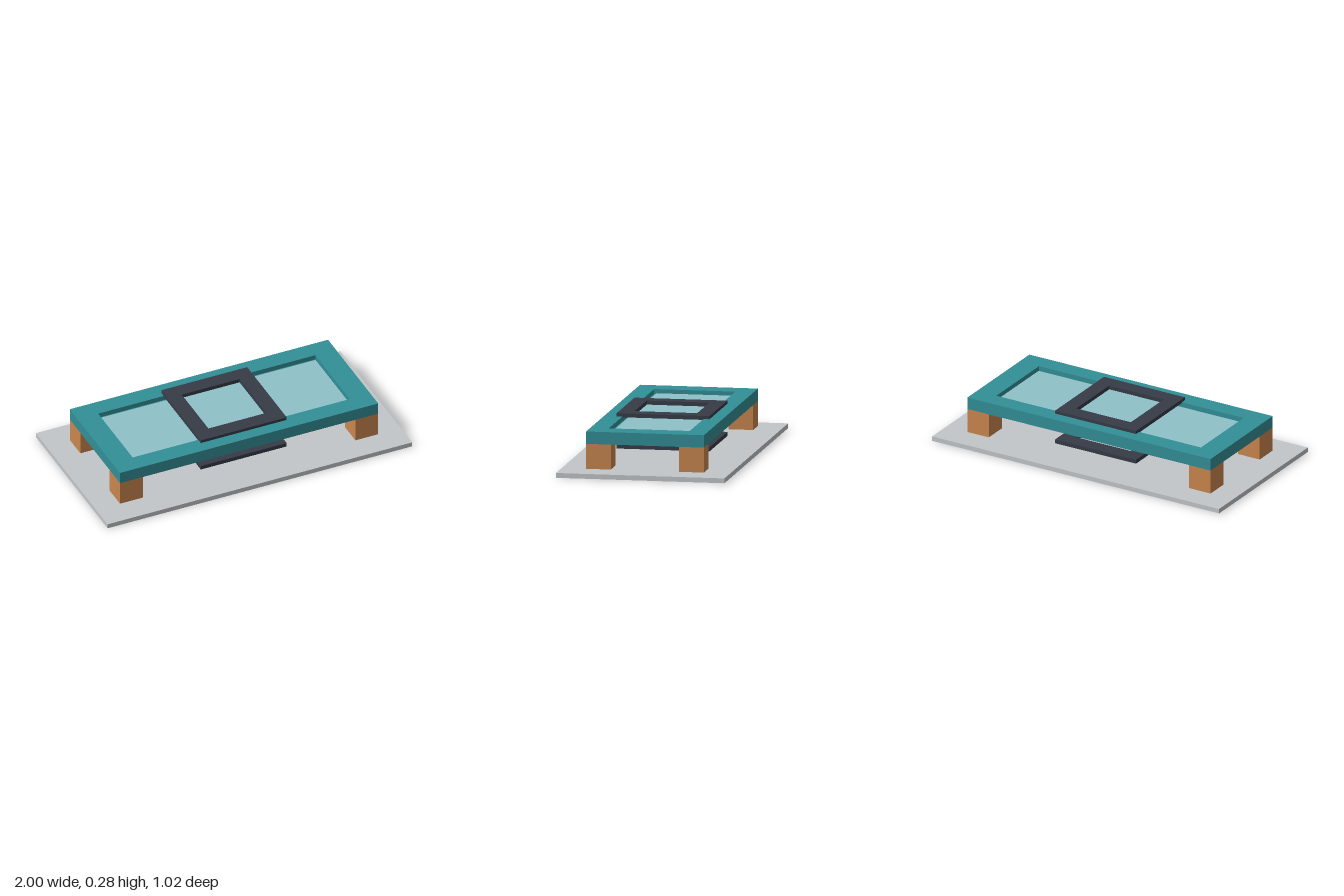
import * as THREE from 'three';

const mat = (name, color) => {
  const m = new THREE.MeshStandardMaterial({ color });
  m.name = name;
  return m;
};

export function createModel() {
  const model = new THREE.Group();
  model.name = 'table';
  const grey = mat('light grey', 0xc3c7ca);
  const teal = mat('teal', 0x338f97);
  const glass = mat('pale glass', 0x8ec2c9);
  const wood = mat('orange wood', 0xc9874f);
  const dark = mat('charcoal', 0x363b46);

  const add = (name, geometry, material) => {
    const mesh = new THREE.Mesh(geometry, material);
    mesh.name = name;
    model.add(mesh);
    return mesh;
  };

  // Solid block with half sizes in x and z, between two heights
  const block = (name, hx, hz, y0, y1, material, x = 0, z = 0) =>
    add(name, new THREE.BoxGeometry(hx * 2, y1 - y0, hz * 2), material)
      .position.set(x, (y0 + y1) / 2, z);

  // Rectangular ring with half sizes, between two heights
  const ring = (name, hx, hz, holeX, holeZ, y0, y1, material) => {
    const corners = (x, z) => [[-x, -z], [x, -z], [x, z], [-x, z]]
      .map(([a, b]) => new THREE.Vector2(a, b));
    const shape = new THREE.Shape(corners(hx, hz));
    shape.holes.push(new THREE.Path(corners(holeX, holeZ).reverse()));
    const g = new THREE.ExtrudeGeometry(shape, { depth: y1 - y0, bevelEnabled: false });
    g.rotateX(-Math.PI / 2).translate(0, y0, 0);
    add(name, g, material);
  };

  // Floor slab
  block('base', 1, 0.512, 0, 0.029, grey);

  // Four square legs
  for (const sx of [-1, 1])
    for (const sz of [-1, 1])
      block('leg', 0.075, 0.075, 0.034, 0.185, wood, sx * 0.773, sz * 0.283);

  // Top frame with a ledge carrying the recessed panel
  ring('topFrame', 0.848, 0.358, 0.713, 0.246, 0.185, 0.26, teal);
  for (const s of [-1, 1])
    block('ledge', 0.713, 0.007, 0.195, 0.23, teal, 0, s * 0.239);
  block('glassPanel', 0.708, 0.232, 0.205, 0.236, glass);

  // Square frames above and below the panel
  ring('upperFrame', 0.282, 0.282, 0.19, 0.19, 0.255, 0.279, dark);
  ring('lowerFrame', 0.282, 0.282, 0.19, 0.19, 0.065, 0.09, dark);

  return model;
}
